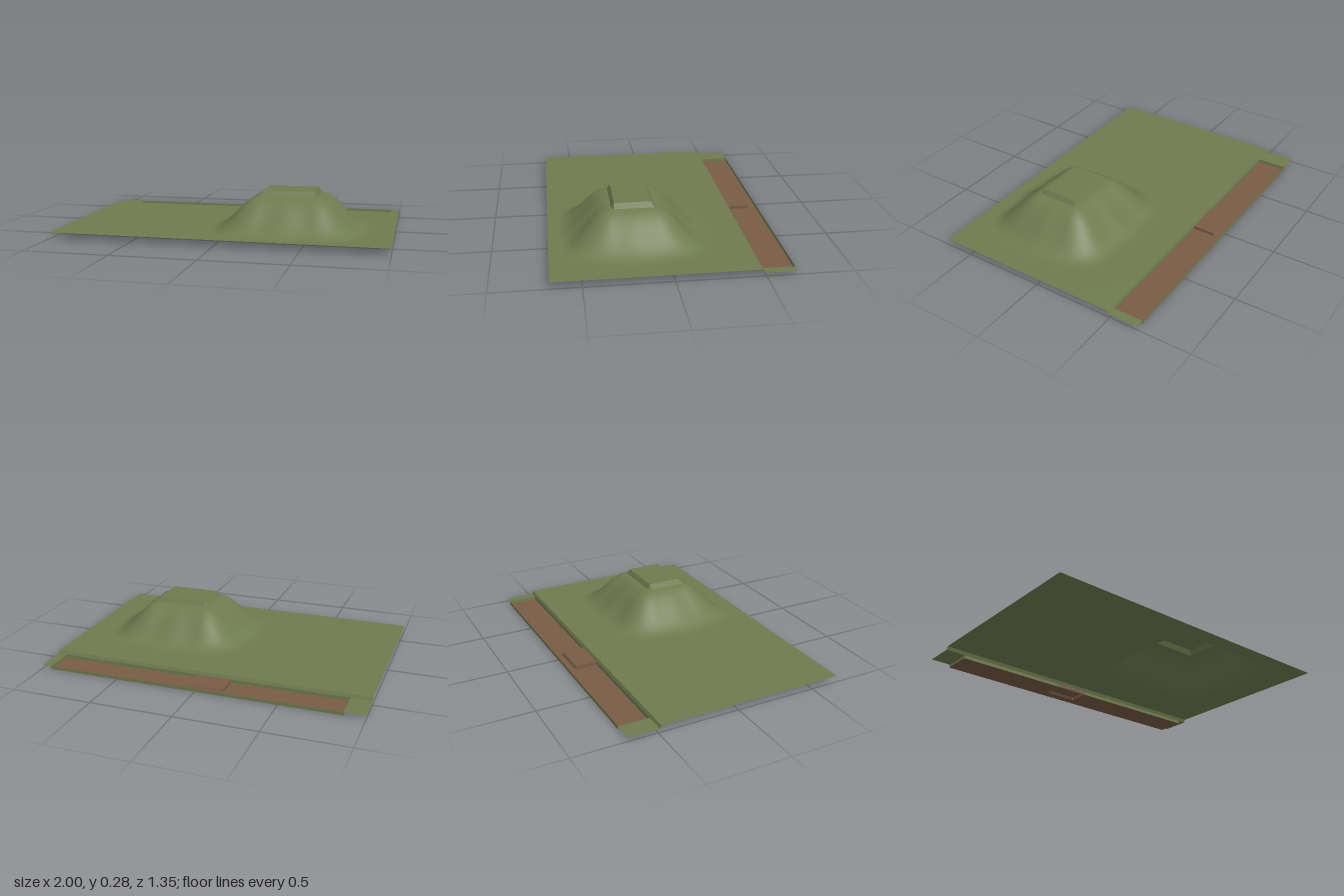
import * as THREE from 'three';
import { mergeGeometries, toCreasedNormals } from 'three/addons/utils/BufferGeometryUtils.js';

const GRASS = new THREE.MeshStandardMaterial({ color: 0x6f7b4f, side: THREE.DoubleSide });
const SOIL = new THREE.MeshStandardMaterial({ color: 0x785b46, side: THREE.DoubleSide });

// Levels and edges
const FIELD_Y = 0.04, LEDGE_Y = 0.02;
const BACK = -0.675, BANK = -0.488, FIELD_BACK = -0.48, FRONT = 0.675;
const DITCH = [-0.875, 0.945], BLOCK = [-0.16, 0.055], BLOCK_BACK = -0.62;
const HILL = { x: 0.375, z: 0.18, hx: 0.17, hz: 0.125, crest: 0.245, top: 0.277, inset: 0.017 };

function mesh(name, geometry, material) {
  const m = new THREE.Mesh(geometry, material);
  m.name = name;
  return m;
}

// Flat four-cornered face, corners counter-clockwise from its front
function quad(...corners) {
  const g = new THREE.PlaneGeometry(1, 1);
  const order = [3, 2, 0, 1];
  order.forEach((c, i) => g.attributes.position.setXYZ(i, ...corners[c]));
  g.computeVertexNormals();
  return g;
}

// Wall along x facing the front (+z) or the back (-z)
const wallX = (x0, x1, y0, y1, z0, z1, facesFront) => facesFront
  ? quad([x0, y0, z0], [x1, y0, z0], [x1, y1, z1], [x0, y1, z1])
  : quad([x1, y0, z0], [x0, y0, z0], [x0, y1, z1], [x1, y1, z1]);

// Wall along z facing +x or -x
const wallZ = (x, y0, y1, zb, zf, facesLeft) => facesLeft
  ? quad([x, y0, zf], [x, y0, zb], [x, y1, zb], [x, y1, zf])
  : quad([x, y0, zb], [x, y0, zf], [x, y1, zf], [x, y1, zb]);

const level = (x0, x1, y, zb, zf) => quad([x0, y, zf], [x1, y, zf], [x1, y, zb], [x0, y, zb]);

// Grid lines that land exactly on the given breaks
function gridLines(breaks, step) {
  const lines = [breaks[0]];
  for (let i = 1; i < breaks.length; i++) {
    const a = breaks[i - 1], n = Math.max(1, Math.round((breaks[i] - a) / step));
    for (let k = 1; k <= n; k++) lines.push(a + (breaks[i] - a) * k / n);
  }
  return lines;
}

// Height of the field: rounded slope around a small raised platform
function heightAt(x, z) {
  const { hx, hz, crest, top, inset } = HILL;
  const dx = Math.abs(x - HILL.x) - hx, dz = Math.abs(z - HILL.z) - hz;
  if (dx <= 1e-6 && dz <= 1e-6) {
    return crest + (top - crest) * Math.min(1, Math.max(0, -Math.max(dx, dz)) / inset);
  }
  const angle = Math.atan2(z - HILL.z, x - HILL.x);
  const radius = 0.303 + 0.01 * Math.cos(8 * angle);
  const t = Math.min(1, Math.hypot(Math.max(dx, 0), Math.max(dz, 0)) / radius);
  return crest + (FIELD_Y - crest) * t * t * (3 - 2 * t);
}

function fieldGeometry() {
  const around = (c, h) => [c - h - 0.32, c - h, c - h + HILL.inset, c + h - HILL.inset, c + h, c + h + 0.32];
  const xs = gridLines([-1, ...around(HILL.x, HILL.hx), 1], 0.022);
  const zs = gridLines([FIELD_BACK, ...around(HILL.z, HILL.hz), FRONT], 0.022);
  const g = new THREE.PlaneGeometry(1, 1, xs.length - 1, zs.length - 1);
  const p = g.attributes.position;
  for (let i = 0; i < p.count; i++) {
    const x = xs[i % xs.length], z = zs[Math.floor(i / xs.length)];
    p.setXYZ(i, x, heightAt(x, z), z);
  }
  return toCreasedNormals(g, 0.6);
}

export function createModel() {
  const group = new THREE.Group();
  group.name = 'terrain';
  const [d0, d1] = DITCH, [b0, b1] = BLOCK;

  // Field with the hill, and the low bank behind it
  group.add(mesh('fieldWithHill', fieldGeometry(), GRASS));
  group.add(mesh('bank', wallX(-1, 1, LEDGE_Y, FIELD_Y, BANK, FIELD_BACK, false), GRASS));

  // Grass ledges at both ends of the ditch
  group.add(mesh('rightLedge', level(-1, d0, LEDGE_Y, BACK, BANK), GRASS));
  group.add(mesh('leftLedge', level(d1, 1, LEDGE_Y, BACK, BANK), GRASS));

  // Ditch walls, facing inwards
  group.add(mesh('ditchWalls', mergeGeometries([
    wallX(d0, d1, 0, LEDGE_Y, BACK, BACK, true),
    wallX(d0, b0, 0, LEDGE_Y, BANK, BANK, false),
    wallX(b1, d1, 0, LEDGE_Y, BANK, BANK, false),
    wallZ(d0, 0, LEDGE_Y, BACK, BANK, true),
    wallZ(d1, 0, LEDGE_Y, BACK, BANK, false),
  ]), GRASS));

  // Soil floor, cut away beneath the raised block
  const outline = [[d0, BANK], [b0, BANK], [b0, BLOCK_BACK], [b1, BLOCK_BACK],
    [b1, BANK], [d1, BANK], [d1, BACK], [d0, BACK]];
  const floor = new THREE.ShapeGeometry(new THREE.Shape(outline.map(([x, z]) => new THREE.Vector2(x, -z))));
  group.add(mesh('ditchFloor', floor.rotateX(-Math.PI / 2), SOIL));

  // Raised soil block in the ditch, open underneath
  group.add(mesh('soilBlock', mergeGeometries([
    level(b0, b1, LEDGE_Y - 0.001, BLOCK_BACK, BANK),
    wallX(b0, b1, 0, LEDGE_Y - 0.001, BLOCK_BACK - 0.01, BLOCK_BACK, false),
    wallX(b0, b1, 0, LEDGE_Y - 0.001, BANK, BANK, true),
    wallZ(b0, 0, LEDGE_Y - 0.001, BLOCK_BACK, BANK, false),
    wallZ(b1, 0, LEDGE_Y - 0.001, BLOCK_BACK, BANK, true),
  ]), SOIL));

  return group;
}
